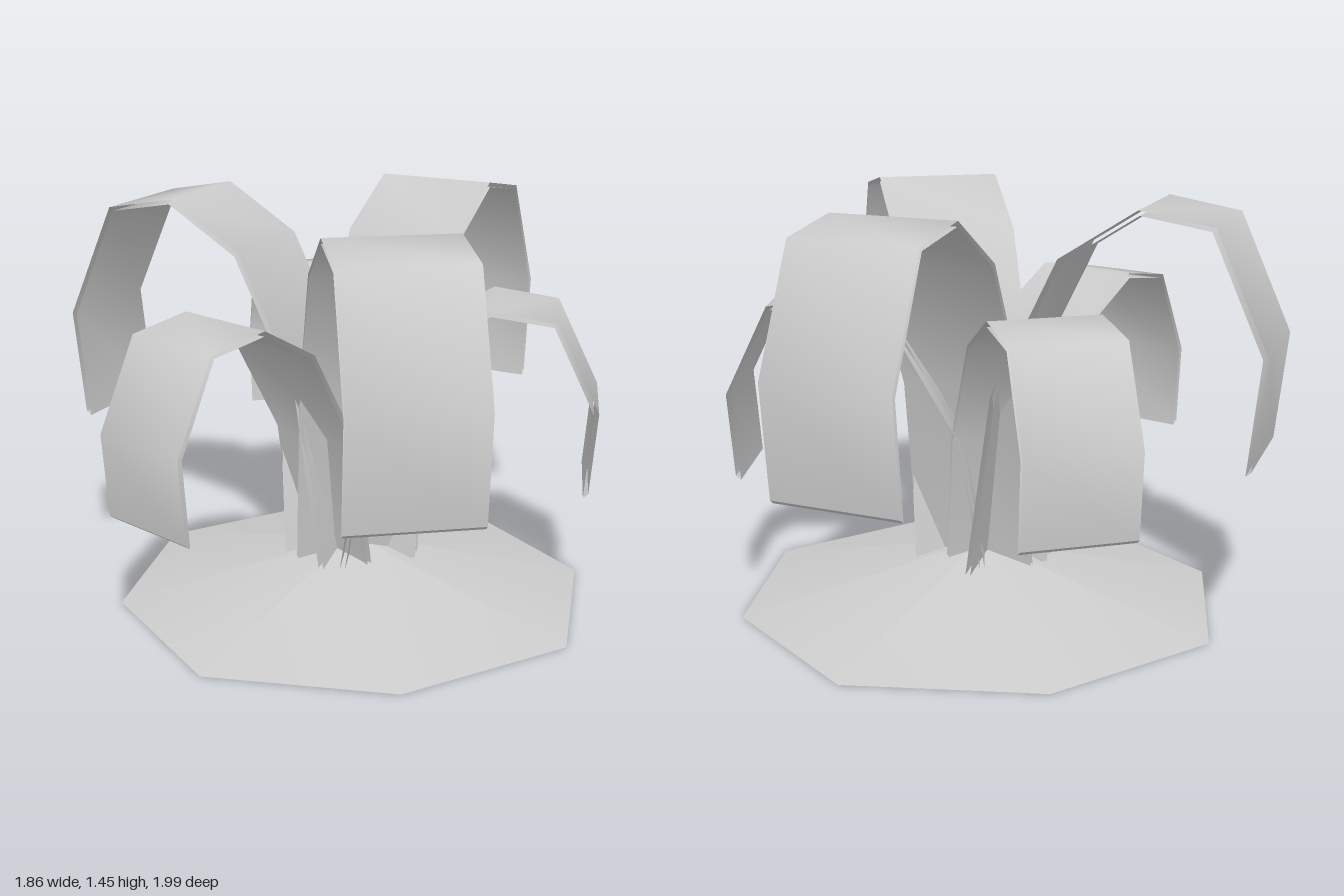
import * as THREE from 'three';

const material = new THREE.MeshStandardMaterial({ color: 0xcccccc, side: THREE.DoubleSide });

// Profiles run from root to tip as [distance from centre, height]
const tallProfile = [[0.02, 0.09], [0.12, 0.8], [0.35, 1.28], [0.615, 1.45], [0.865, 1.405], [1.045, 1.0], [1.005, 0.625]];
const shortProfile = [[0.02, 0.09], [0.105, 0.63], [0.315, 1.0], [0.54, 1.125], [0.77, 1.09], [0.92, 0.78], [0.897, 0.49]];

// Underside of a leaf: the profile shifted inwards along its normals
function inset(profile, gap) {
  return profile.map(([r, y], i) => {
    const a = profile[Math.max(i - 1, 0)];
    const b = profile[Math.min(i + 1, profile.length - 1)];
    const dr = b[0] - a[0], dy = b[1] - a[1], len = Math.hypot(dr, dy);
    return [r + (dy / len) * gap, y - (dr / len) * gap];
  });
}

// Two curved sheets joined at the tip, with open sides
function leafGeometry(profile, width) {
  const inner = inset(profile, 0.018);
  const last = profile.length - 1;
  inner[last][1] = profile[last][1] - 0.014;
  const strips = [profile, [profile[last], inner[last]], inner.slice().reverse()];
  const positions = [], index = [];
  for (const strip of strips) {
    strip.forEach(([r, y], i) => {
      const k = positions.length / 3;
      positions.push(-width / 2, y, r, width / 2, y, r);
      if (i < strip.length - 1) index.push(k, k + 1, k + 3, k, k + 3, k + 2);
    });
  }
  // Faces turn outwards: above on the outer sheet, below on the inner one
  for (let i = 0; i < index.length; i += 3) [index[i + 1], index[i + 2]] = [index[i + 2], index[i + 1]];
  for (let i = 0; i < index.length; i += 3) [index[i + 1], index[i + 2]] = [index[i + 2], index[i + 1]];
  const geometry = new THREE.BufferGeometry();
  geometry.setAttribute('position', new THREE.Float32BufferAttribute(positions, 3));
  geometry.setIndex(index);
  geometry.computeVertexNormals();
  return geometry;
}

// A ring of identical leaves turned to the given angles (degrees from the front)
function leafRing(name, leafName, profile, width, angles, x, z) {
  const ring = new THREE.Group();
  ring.name = name;
  ring.position.set(x, 0, z);
  const geometry = leafGeometry(profile, width);
  for (const angle of angles) {
    const leaf = new THREE.Mesh(geometry, material);
    leaf.name = leafName;
    leaf.rotation.y = THREE.MathUtils.degToRad(angle);
    ring.add(leaf);
  }
  return ring;
}

// Low eight-sided mound, open underneath, its diagonal corners a little wider
function createMound() {
  const geometry = new THREE.ConeGeometry(0.8625, 0.21, 8, 1, true);
  const p = geometry.attributes.position;
  for (let i = 0; i < p.count; i++) {
    const x = p.getX(i), z = p.getZ(i);
    if (Math.abs(x) > 0.1 && Math.abs(z) > 0.1) p.setXYZ(i, x * 1.03, p.getY(i), z * 1.03);
  }
  geometry.computeVertexNormals();
  const mound = new THREE.Mesh(geometry, material);
  mound.name = 'mound';
  mound.position.set(0.05, 0.105, -0.065);
  return mound;
}

export function createModel() {
  const model = new THREE.Group();
  model.name = 'plant';
  model.add(
    createMound(),
    leafRing('tallLeaves', 'tallLeaf', tallProfile, 0.447, [0, 140.4, 236], 0.055, -0.055),
    leafRing('shortLeaves', 'shortLeaf', shortProfile, 0.385, [72.3, 181.5, 306.5], -0.007, -0.063)
  );
  return model;
}
